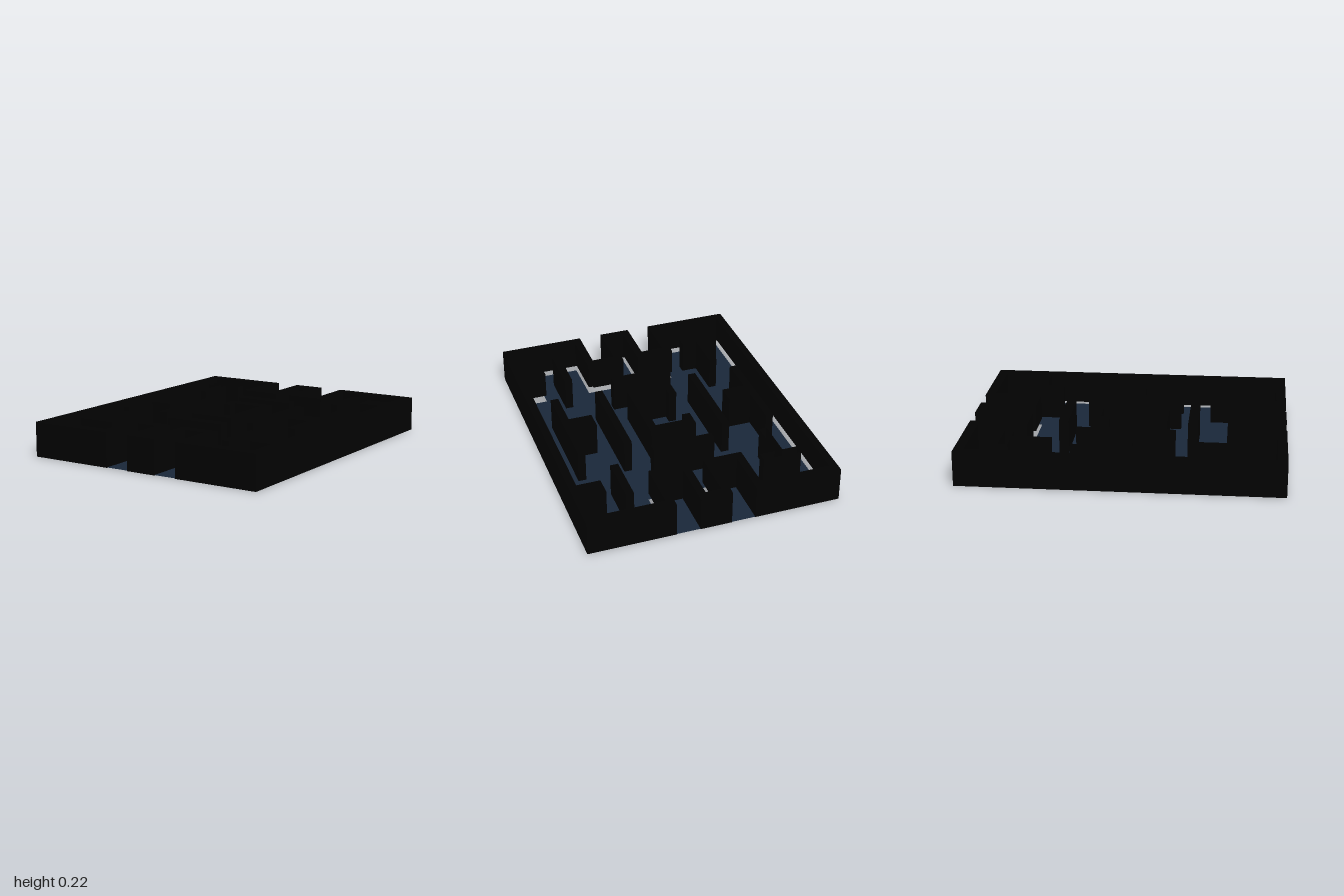
import * as THREE from 'three';

const HEIGHT = 0.22; // wall height
const GAP = 0.05; // slit below the inward faces of the border
const FLOOR = 0.003;

// Points are [x, z], anticlockwise when seen from above.
const mirrorZ = (half) => [...half, ...half.map(([x, z]) => [x, -z]).reverse()];

function toShape(points) {
  return new THREE.Shape(points.map(([x, z]) => new THREE.Vector2(x, -z)));
}

function flat(shapes, y) {
  const g = new THREE.ShapeGeometry(shapes);
  g.rotateX(-Math.PI / 2);
  g.translate(0, y, 0);
  return g;
}

// Upright faces along a closed outline, facing right of its direction
function fence(points, y0, y1) {
  const pos = [];
  points.forEach(([ax, az], i) => {
    const [bx, bz] = points[(i + 1) % points.length];
    pos.push(ax, y0, az, bx, y0, bz, bx, y1, bz);
    pos.push(ax, y0, az, bx, y1, bz, ax, y1, az);
  });
  const g = new THREE.BufferGeometry();
  g.setAttribute('position', new THREE.Float32BufferAttribute(pos, 3));
  g.computeVertexNormals();
  return g;
}

export function createModel() {
  const model = new THREE.Group();
  const wallBlack = new THREE.MeshStandardMaterial({ color: 0x020202, side: THREE.DoubleSide });
  wallBlack.name = 'wallBlack';
  const floorBlue = new THREE.MeshStandardMaterial({ color: 0x192739, side: THREE.DoubleSide });
  floorBlue.name = 'floorBlue';

  const add = (name, geometry, material, parent = model) => {
    const mesh = new THREE.Mesh(geometry, material);
    mesh.name = name;
    parent.add(mesh);
  };

  // Border outlines: outside with four entrance pockets, inside with their walls
  const outer = mirrorZ([
    [-0.8, 1], [-0.25, 1], [-0.25, 0.69], [-0.1, 0.69], [-0.1, 1],
    [0.1, 1], [0.1, 0.69], [0.25, 0.69], [0.25, 1], [0.8, 1],
  ]);
  const inner = mirrorZ([
    [-0.75, 0.94], [-0.3, 0.94], [-0.3, 0.63], [-0.05, 0.63], [-0.05, 0.94],
    [0.05, 0.94], [0.05, 0.63], [0.3, 0.63], [0.3, 0.94], [0.75, 0.94],
    [0.75, 0.745], [0.6, 0.745], [0.6, 0.625], [0.75, 0.625],
  ]);
  // Hollow T-shaped shaft
  const shaft = [
    [-0.65, -0.69], [-0.55, -0.69], [-0.55, -0.44], [-0.5, -0.44],
    [-0.5, -0.69], [-0.4, -0.69], [-0.4, -0.75], [-0.65, -0.75],
  ];

  const border = new THREE.Group();
  border.name = 'borderWall';
  model.add(border);
  const top = toShape(outer);
  top.holes.push(toShape(inner));
  add('borderTop', flat(top, HEIGHT), wallBlack, border);
  add('borderOutside', fence(outer, 0, HEIGHT), wallBlack, border);
  add('borderInside', fence([...inner].reverse(), GAP, HEIGHT), wallBlack, border);

  // Floor, open under the border and the shaft
  const mainFloor = toShape(inner);
  mainFloor.holes.push(toShape(shaft));
  const floors = [mainFloor];
  for (const x of [-0.25, 0.1]) {
    for (const z of [-1, 0.69]) {
      floors.push(toShape([[x, z + 0.31], [x + 0.15, z + 0.31], [x + 0.15, z], [x, z]]));
    }
  }
  add('floor', flat(floors, FLOOR), floorBlue);
  add('hollowShaft', fence(shaft, 0, HEIGHT), wallBlack);

  // Free-standing walls
  const wall = (name, x0, x1, z0, z1) => {
    const g = new THREE.BoxGeometry(x1 - x0, HEIGHT, z1 - z0);
    g.translate((x0 + x1) / 2, HEIGHT / 2, (z0 + z1) / 2);
    add(name, g, wallBlack);
  };
  const wallPairZ = (name, x0, x1, z0, z1) => {
    wall(name + 'Front', x0, x1, z0, z1);
    wall(name + 'Back', x0, x1, -z1, -z0);
  };
  const wallPairX = (name, x0, x1, z0, z1) => {
    wall(name + 'Left', x0, x1, z0, z1);
    wall(name + 'Right', -x1, -x0, z0, z1);
  };

  wallPairZ('crossBar', -0.2, 0.2, 0.38, 0.44);
  wallPairZ('centreRoomSide', -0.15, 0.15, 0.185, 0.245);
  wallPairZ('centreRoomLip', -0.15, -0.1, 0.125, 0.185);
  wall('centreRoomBack', 0.1, 0.15, -0.185, 0.185);
  wallPairX('longWall', 0.3, 0.35, -0.31, 0.31);
  wallPairX('sideWall', 0.6, 0.65, -0.31, 0.31);
  wallPairX('sideWallStub', 0.45, 0.6, -0.06, 0.06);
  wallPairZ('shortWall', 0.45, 0.5, 0.5, 0.81);
  wall('teeBar', -0.65, -0.4, 0.69, 0.75);
  wall('teeStem', -0.55, -0.5, 0.43, 0.69);

  return model;
}
